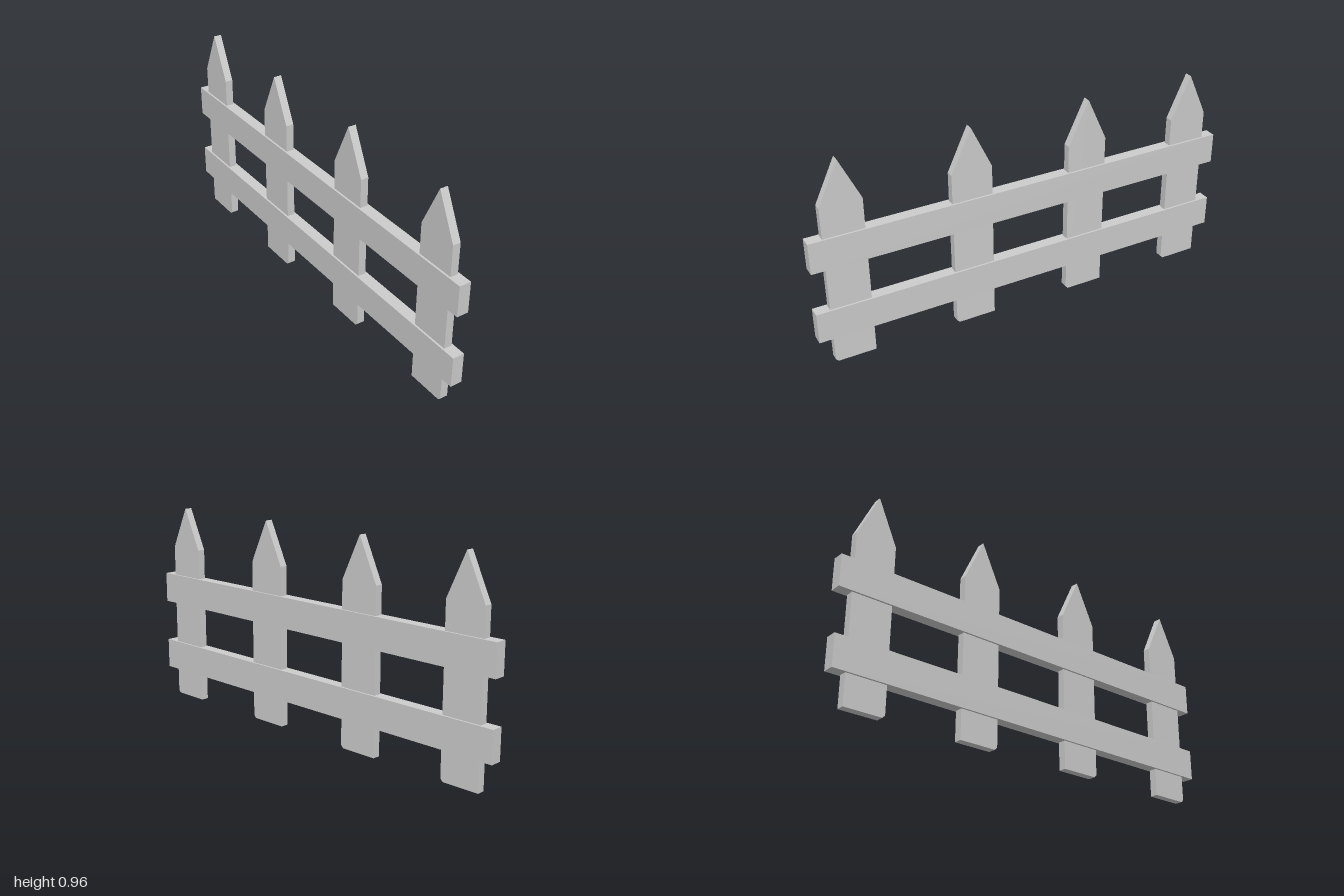
import * as THREE from 'three';

export function createModel() {
  const fence = new THREE.Group();
  fence.name = 'picketFence';
  const material = new THREE.MeshStandardMaterial({ color: 0xcccccc, flatShading: true });

  // Two horizontal rails running along z
  const railNames = ['lowerRail', 'upperRail'];
  [[0.138, 0.281], [0.481, 0.624]].forEach(([bottom, top], i) => {
    const rail = new THREE.Mesh(new THREE.BoxGeometry(0.054, top - bottom, 2), material);
    rail.name = railNames[i];
    rail.position.y = (bottom + top) / 2;
    fence.add(rail);
  });

  // Pointed pickets, slightly uneven: z range, bottom, shoulder, tip z and tip height
  const depth = 0.036;
  const pickets = [
    { z0: 0.752, z1: 0.936, bottom: 0.01, shoulder: 0.765, tipZ: 0.843, tip: 0.96 },
    { z0: 0.174, z1: 0.363, bottom: 0.008, shoulder: 0.758, tipZ: 0.268, tip: 0.957 },
    { z0: -0.392, z1: -0.203, bottom: 0.002, shoulder: 0.752, tipZ: -0.299, tip: 0.953 },
    { z0: -0.936, z1: -0.75, bottom: 0, shoulder: 0.752, tipZ: -0.842, tip: 0.953 },
  ];
  pickets.forEach(({ z0, z1, bottom, shoulder, tipZ, tip }, i) => {
    // Outline with a small chipped lower corner on the +z side
    const outline = new THREE.Shape([
      [z0, bottom], [z1 - 0.012, bottom], [z1, bottom + 0.012],
      [z1, shoulder], [tipZ, tip], [z0, shoulder],
    ].map(([z, y]) => new THREE.Vector2(z, y)));
    const geometry = new THREE.ExtrudeGeometry(outline, { depth, bevelEnabled: false });
    geometry.translate(0, 0, -depth / 2).rotateY(-Math.PI / 2);
    const picket = new THREE.Mesh(geometry, material);
    picket.name = `picket${i + 1}`;
    fence.add(picket);
  });

  return fence;
}
